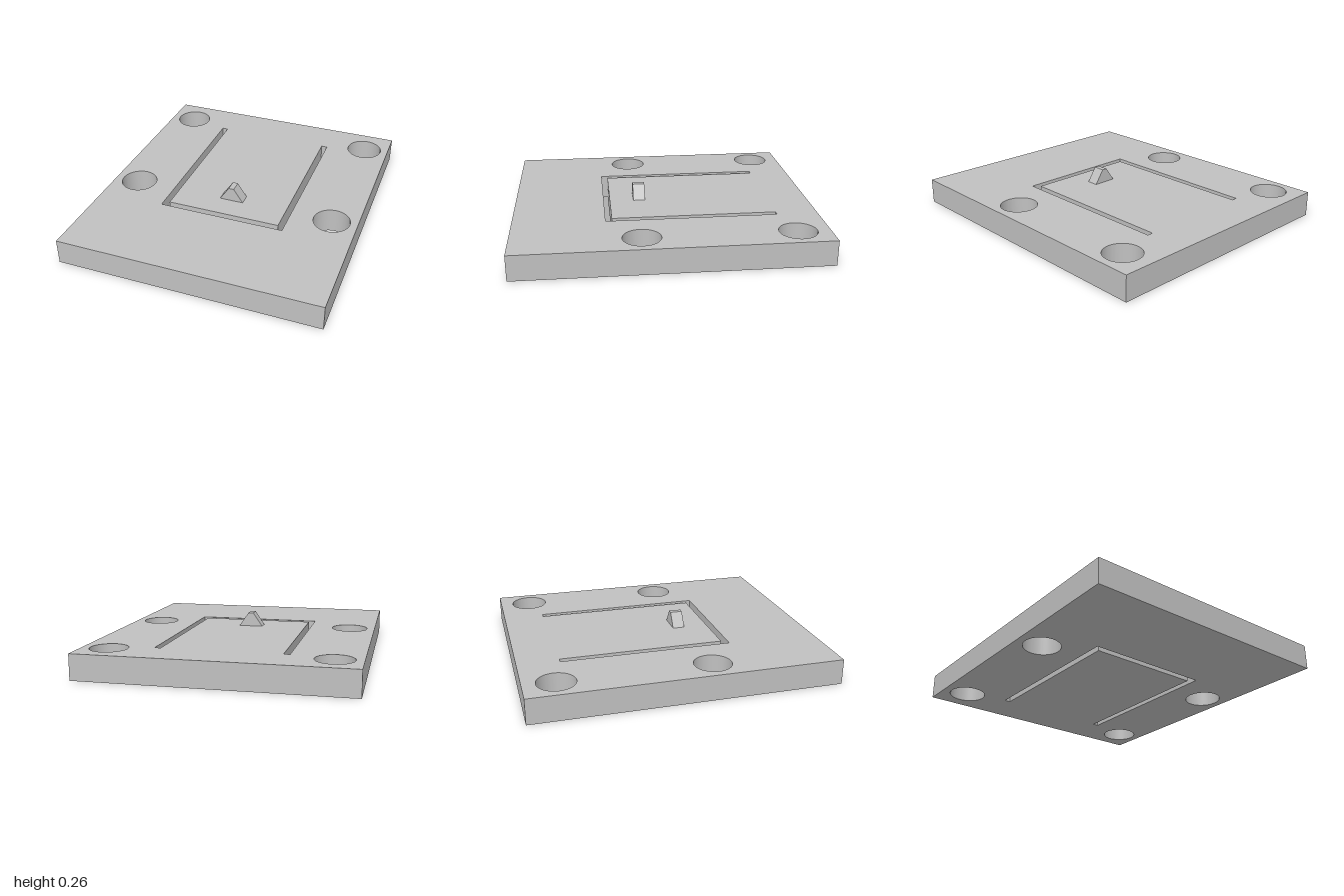
import * as THREE from 'three';
import { toCreasedNormals } from 'three/addons/utils/BufferGeometryUtils.js';

const HALF_WIDTH = 0.873;
const THICKNESS = 0.168;

// Closed path from [x, z] points; shape y is -z so the plate can be laid flat.
function outline(PathType, points) {
  return new PathType(points.map(([x, z]) => new THREE.Vector2(x, -z)));
}

export function createModel() {
  const group = new THREE.Group();
  const grey = new THREE.MeshStandardMaterial({ color: 0xc0c0c0 });
  grey.name = 'grey plastic';

  // Rectangular plate outline
  const plateShape = outline(THREE.Shape, [
    [-HALF_WIDTH, 1], [HALF_WIDTH, 1], [HALF_WIDTH, -1], [-HALF_WIDTH, -1],
  ]);

  // Four round mounting holes
  for (const x of [-0.7, 0.7]) {
    for (const z of [-0.793, 0.187]) {
      plateShape.holes.push(new THREE.Path().absarc(x, -z, 0.122, 0, Math.PI * 2, true));
    }
  }

  // U-shaped slot that frees the spring tongue on three sides
  const outer = 0.426, inner = 0.386, back = -0.727;
  plateShape.holes.push(outline(THREE.Path, [
    [-outer, back], [-outer, 0.4], [outer, 0.4], [outer, back],
    [inner, back], [inner, 0.358], [-inner, 0.358], [-inner, back],
  ]));

  const plateGeometry = new THREE.ExtrudeGeometry(plateShape, {
    depth: THICKNESS, bevelEnabled: false, curveSegments: 48,
  });
  plateGeometry.rotateX(-Math.PI / 2);
  const plate = new THREE.Mesh(toCreasedNormals(plateGeometry, Math.PI / 6), grey);
  plate.name = 'plate';
  group.add(plate);

  // Small tapered catch on the tongue
  const catchShape = new THREE.Shape([
    new THREE.Vector2(-0.082, 0), new THREE.Vector2(0.082, 0),
    new THREE.Vector2(0.018, 0.094), new THREE.Vector2(-0.018, 0.094),
  ]);
  const latch = new THREE.Mesh(
    new THREE.ExtrudeGeometry(catchShape, { depth: 0.081, bevelEnabled: false }), grey);
  latch.position.set(0, THICKNESS, 0.115);
  latch.name = 'catch';
  group.add(latch);

  return group;
}
